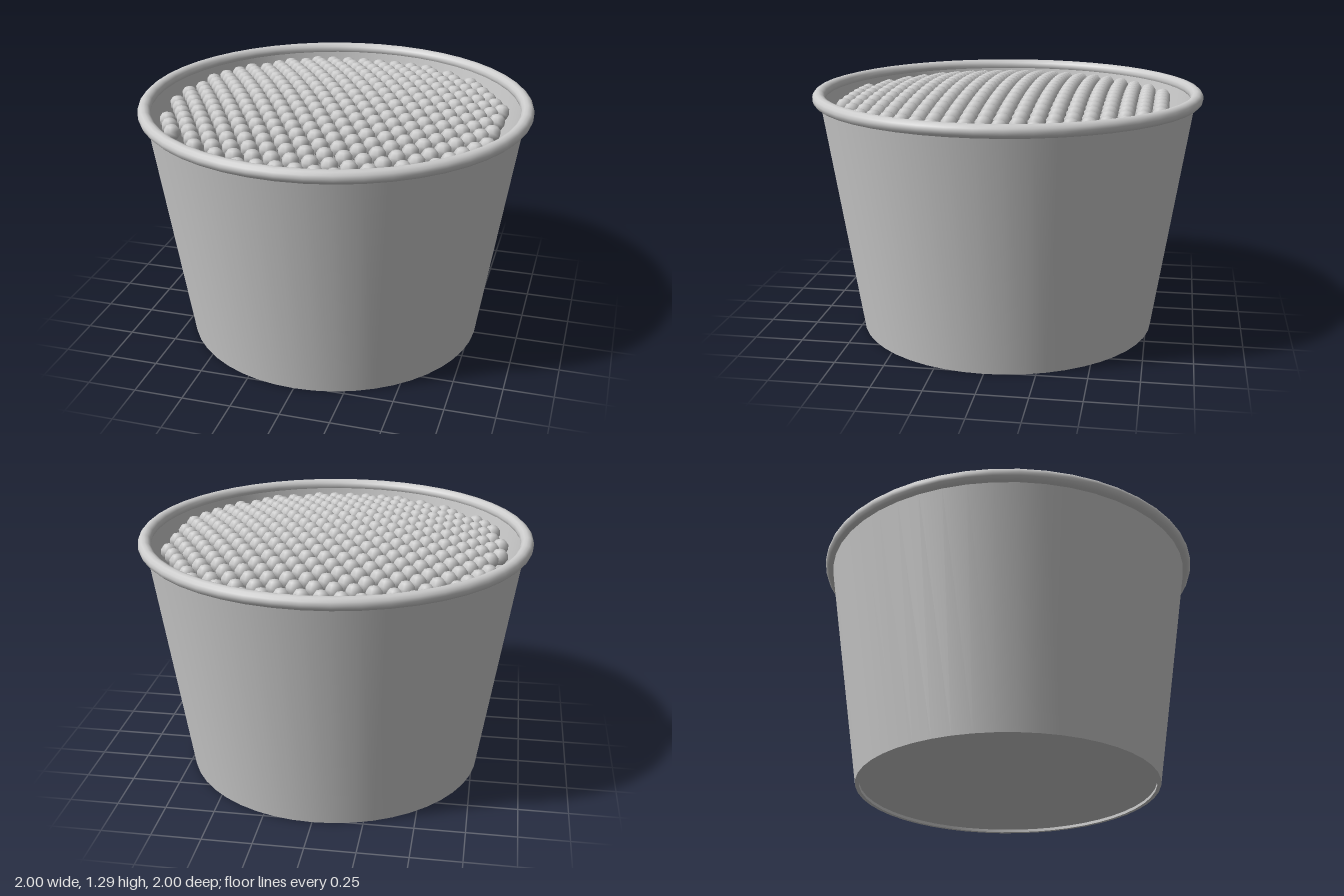
import * as THREE from 'three';
import { mergeGeometries, toCreasedNormals } from 'three/addons/utils/BufferGeometryUtils.js';

export function createModel() {
  const model = new THREE.Group();
  model.name = 'tubOfBalls';
  const grey = new THREE.MeshStandardMaterial({ color: 0xcccccc });
  grey.name = 'lightGrey';

  const add = (name, geometry) => {
    const mesh = new THREE.Mesh(geometry, grey);
    mesh.name = name;
    model.add(mesh);
    return mesh;
  };

  // Tapered tub: recessed base, foot ring, outer wall, inner wall and floor
  const profile = [
    [0, 0.015], [0.752, 0.015], [0.752, 0], [0.772, 0],
    [0.963, 1.233], [0.94, 1.233], [0.757, 0.03], [0, 0.03],
  ].map(([r, y]) => new THREE.Vector2(r, y));
  add('tub', toCreasedNormals(new THREE.LatheGeometry(profile, 48), 0.6));

  // Rolled lip
  const lip = new THREE.TorusGeometry(0.967, 0.033, 12, 48);
  lip.rotateX(Math.PI / 2);
  add('rolledLip', lip).position.y = 1.233;

  // Shallow dome of balls packed on a hexagonal grid
  const pitch = 0.0916, rowPitch = 0.08, limit = 0.861;
  const ball = new THREE.SphereGeometry(0.043, 7, 5);
  const balls = [];
  for (let row = 0; row <= 20; row++) {
    const z = -0.79 + row * rowPitch;
    const shift = row % 2 ? -0.009 : 0.037;
    for (let i = -10; i <= 10; i++) {
      const x = shift + i * pitch;
      const r = Math.hypot(x, z);
      if (r < limit) balls.push(ball.clone().translate(x, 1.25 - 0.1 * r * r, z));
    }
  }
  add('balls', mergeGeometries(balls));

  return model;
}
